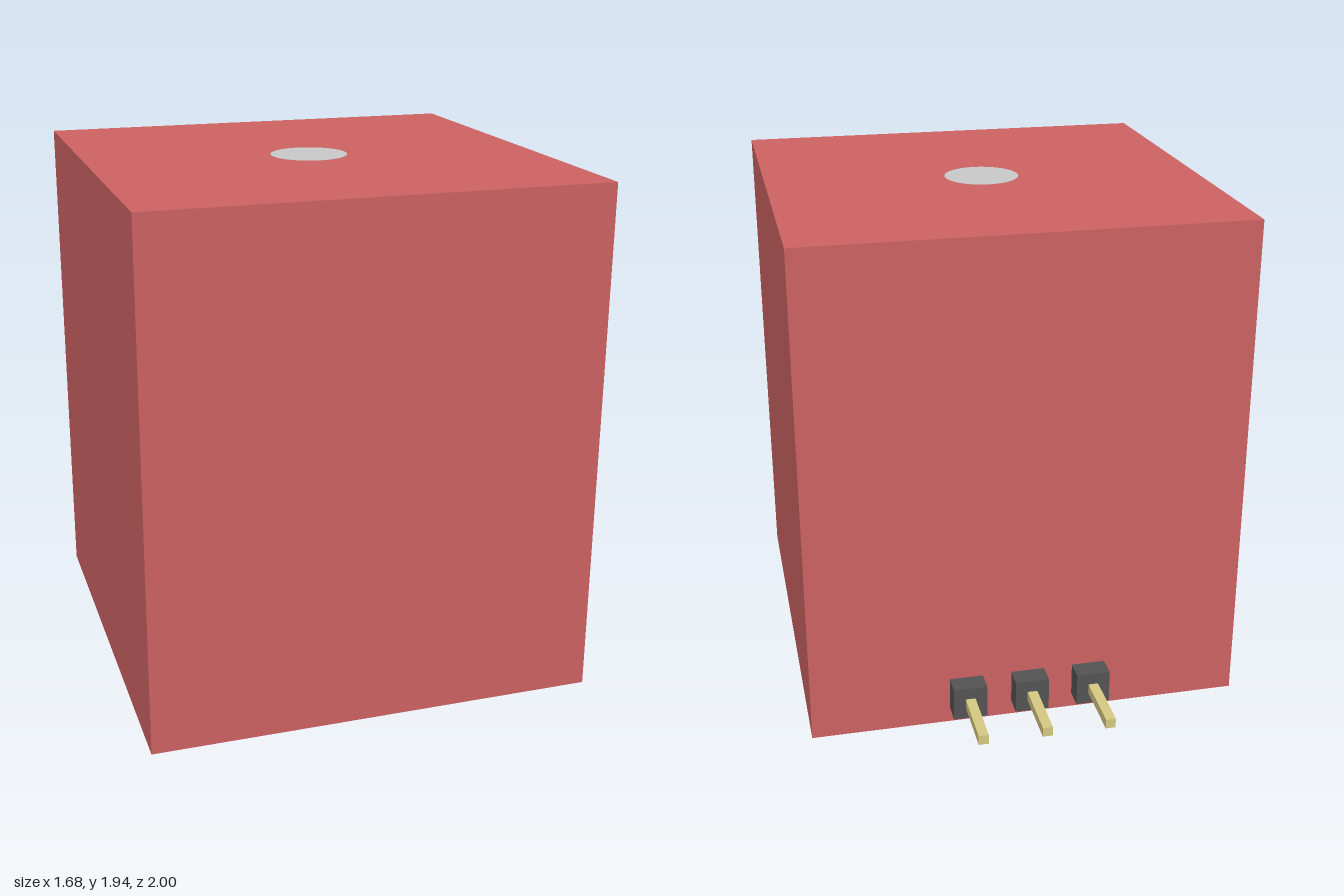
import * as THREE from 'three';

const paint = (color) => new THREE.MeshStandardMaterial({ color });

export function createModel() {
  const model = new THREE.Group();
  const red = paint(0xd06464), dark = paint(0x555555), brass = paint(0xd8cc84);
  const steel = paint(0x7b8491), silver = paint(0xd0d0d0);

  function add(name, geometry, material, x, y, z) {
    const mesh = new THREE.Mesh(geometry, material);
    mesh.name = name;
    mesh.position.set(x, y, z);
    model.add(mesh);
  }

  // Housing, with the pins on its back face
  const height = 1.935, width = 1.68, centreZ = 0.16;
  add('housing', new THREE.BoxGeometry(width, height, width), red, 0, height / 2, centreZ);

  // Round core and shaft inside, their ends level with the bottom and top
  const lift = 0.0008;
  add('core', new THREE.CylinderGeometry(0.83, 0.83, 1.2, 64), steel, 0, 0.6 - lift, centreZ);
  add('shaft', new THREE.CylinderGeometry(0.145, 0.145, 0.735, 48), silver,
    0, height - 0.3675 + lift, centreZ);

  // Row of three connector pins in square insulators
  const insulator = new THREE.BoxGeometry(0.13, 0.13, 0.08);
  const pin = new THREE.BoxGeometry(0.038, 0.038, 0.32);
  for (let i = -1; i <= 1; i++) {
    const x = i * 0.242 - 0.003;
    add('pinInsulator', insulator, dark, x, 0.125, -0.72);
    add('pin', pin, brass, x, 0.125, -0.84);
  }
  return model;
}
